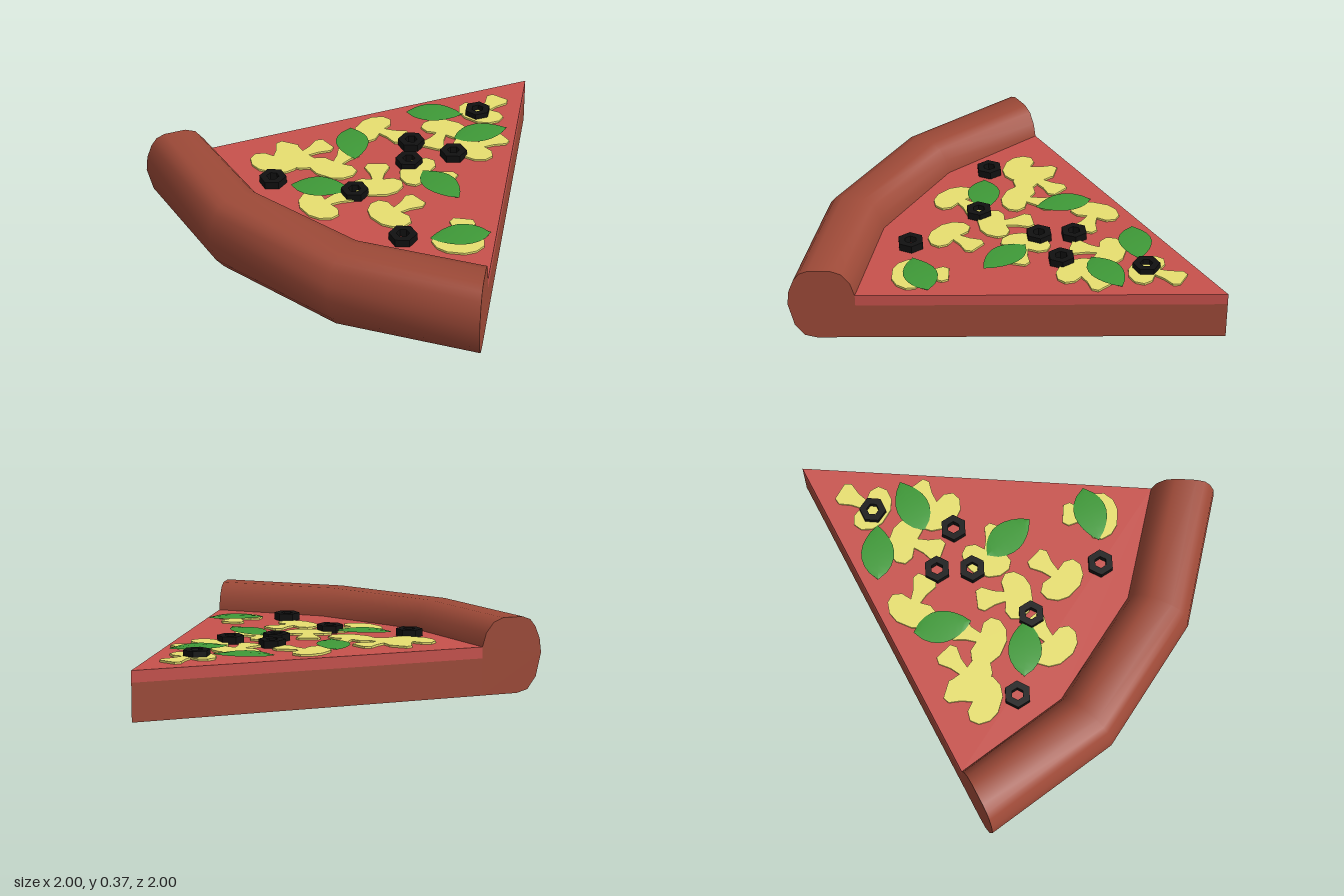
import * as THREE from 'three';
import { toCreasedNormals } from 'three/addons/utils/BufferGeometryUtils.js';

const material = (color) => new THREE.MeshStandardMaterial({ color });
const dough = material(0x9e4a38);
const sauceRed = material(0xc8524c);
const mushroomYellow = material(0xe8e070);
const oliveBlack = material(0x111111);
const basilGreen = new THREE.MeshStandardMaterial({ color: 0x3f9a38, side: THREE.DoubleSide });

// Plan outline of the crust as [x, z], from the back end to the front end
const OUTER = [[-0.76, -1], [-1, -0.35], [-1, 0.35], [-0.76, 1]];
const INNER = [[-0.49, -0.846], [-0.69, -0.3], [-0.69, 0.3], [-0.49, 0.846]];
const DOUGH_TOP = 0.18;
const SAUCE_TOP = 0.235;

// Flat slab drawn in plan (x, z), with its upper face at y = top
function slab(shape, top, depth, curveSegments = 4) {
  const geo = new THREE.ExtrudeGeometry(shape, { depth, bevelEnabled: false, curveSegments });
  return geo.rotateX(Math.PI / 2).translate(0, top, 0);
}

function polygon(points) {
  return new THREE.Shape(points.map(([x, z]) => new THREE.Vector2(x, z)));
}

// Rounded crust: one profile (0 = outer edge, 1 = inner edge) swept over four stations
function crustGeometry() {
  const profile = [
    [0, 0.19], [0.03, 0.26], [0.11, 0.32], [0.2, 0.355], [0.33, 0.37], [0.66, 0.37], [0.82, 0.35],
    [0.94, 0.3], [1, 0.235], [1, 0], [0.4, 0], [0.22, 0.015], [0.08, 0.075],
  ];
  const n = profile.length;
  const last = (OUTER.length - 1) * n;
  const pos = [];
  const index = [];
  OUTER.forEach(([ox, oz], s) => {
    const [ix, iz] = INNER[s];
    for (const [t, y] of profile) pos.push(ox + (ix - ox) * t, y, oz + (iz - oz) * t);
  });
  for (let s = 0; s < OUTER.length - 1; s++) {
    for (let p = 0; p < n; p++) {
      const a = s * n + p;
      const c = s * n + ((p + 1) % n);
      index.push(a, a + n, c, c, a + n, c + n);
    }
  }
  for (let p = 1; p < n - 1; p++) {
    index.push(0, p, p + 1, last, last + p + 1, last + p);
  }
  const geo = new THREE.BufferGeometry();
  geo.setAttribute('position', new THREE.Float32BufferAttribute(pos, 3));
  geo.setIndex(index);
  return toCreasedNormals(geo, 0.7);
}

// Mushroom slice: domed cap towards -x and a flared stem towards +x
function mushroomGeometry() {
  return slab(polygon([
    [-0.07, -0.04], [-0.045, -0.09], [0, -0.12], [0.045, -0.115], [0.068, -0.075], [0.06, -0.025],
    [0.11, -0.035], [0.165, -0.06], [0.195, -0.045], [0.195, 0.045], [0.165, 0.06], [0.11, 0.035],
    [0.06, 0.025], [0.068, 0.075], [0.045, 0.115], [0, 0.12], [-0.045, 0.09], [-0.07, 0.04],
  ]), 0.01, 0.012);
}

// Basil leaf: rows of left edge, raised midrib and right edge along x
function leafGeometry() {
  const rows = 8;
  const pos = [];
  const index = [];
  for (let i = 0; i <= rows; i++) {
    const t = i / rows;
    const half = 0.08 * Math.pow(Math.sin(Math.PI * Math.pow(t, 0.9)), 0.8) || 0;
    const lift = 0.004 + 0.006 * Math.sin(Math.PI * t);
    for (const side of [-1, 0, 1]) {
      pos.push((t - 0.5) * 0.28, side ? lift - 0.003 : lift + 0.001, side * half);
    }
    if (i === rows) break;
    for (const k of [0, 1]) {
      const a = i * 3 + k;
      index.push(a, a + 1, a + 3, a + 1, a + 4, a + 3);
    }
  }
  const geo = new THREE.BufferGeometry();
  geo.setAttribute('position', new THREE.Float32BufferAttribute(pos, 3));
  geo.setIndex(index);
  geo.computeVertexNormals();
  return geo;
}

// Hexagonal olive ring
function oliveGeometry() {
  const hexagon = (r) => Array.from({ length: 6 }, (_, i) => [
    r * Math.cos((i * Math.PI) / 3), r * Math.sin((i * Math.PI) / 3),
  ]);
  const ring = polygon(hexagon(0.065));
  ring.holes.push(polygon(hexagon(0.03)));
  return slab(ring, 0.037, 0.037);
}

export function createModel() {
  const model = new THREE.Group();
  model.name = 'pizzaSlice';

  function add(parent, name, geometry, mat, x = 0, y = 0, z = 0, turn = 0) {
    const mesh = new THREE.Mesh(geometry, mat);
    mesh.name = name;
    mesh.position.set(x, y, z);
    mesh.rotation.y = turn;
    parent.add(mesh);
  }
  function addGroup(name) {
    const group = new THREE.Group();
    group.name = name;
    model.add(group);
    return group;
  }

  // Base, sauce and crust
  const wedge = polygon([[1, 0], ...INNER]);
  add(model, 'doughBase', slab(wedge, DOUGH_TOP, DOUGH_TOP), dough);
  add(model, 'sauce', slab(wedge, SAUCE_TOP, SAUCE_TOP - DOUGH_TOP), sauceRed);
  add(model, 'crust', crustGeometry(), dough);

  // Mushrooms: cap centre x, z, then stem end x, z
  const mushrooms = addGroup('mushrooms');
  const mushroom = mushroomGeometry();
  [
    [-0.4, -0.5, -0.2, -0.56], [-0.29, -0.45, -0.11, -0.41], [-0.26, -0.25, -0.08, -0.28],
    [0.14, -0.33, 0.17, -0.15], [-0.54, -0.1, -0.37, -0.05], [-0.24, 0.02, -0.11, -0.09],
    [-0.02, 0.08, 0.03, 0.27], [0.37, -0.04, 0.18, 0.01], [-0.39, 0.2, -0.22, 0.23],
    [0.3, 0.17, 0.48, 0.23], [0.58, 0.01, 0.77, 0], [-0.37, 0.59, -0.21, 0.5],
  ].forEach(([x, z, sx, sz]) => {
    add(mushrooms, 'mushroom', mushroom, mushroomYellow, x, SAUCE_TOP, z, -Math.atan2(sz - z, sx - x));
  });

  // Basil leaves: both ends as x, z
  const leaves = addGroup('basilLeaves');
  const leaf = leafGeometry();
  [
    [-0.49, -0.31, -0.34, -0.06], [0.07, -0.41, -0.13, -0.21], [0.36, -0.28, 0.52, -0.05],
    [0.31, 0.05, 0.56, 0.2], [-0.01, 0.11, -0.08, 0.38], [-0.21, 0.66, -0.42, 0.47],
  ].forEach(([x, z, tx, tz]) => {
    add(leaves, 'leaf', leaf, basilGreen, (x + tx) / 2, SAUCE_TOP + 0.011, (z + tz) / 2,
      -Math.atan2(tz - z, tx - x));
  });

  // Olive rings
  const olives = addGroup('olives');
  const olive = oliveGeometry();
  [
    [-0.51, -0.4], [-0.35, -0.03], [0.01, 0.01], [0.15, -0.085], [0.2, 0.135], [0.58, 0], [-0.49, 0.37],
  ].forEach(([x, z], i) => add(olives, 'olive', olive, oliveBlack, x, SAUCE_TOP, z, i === 5 ? 0.5 : 0.1));

  return model;
}
